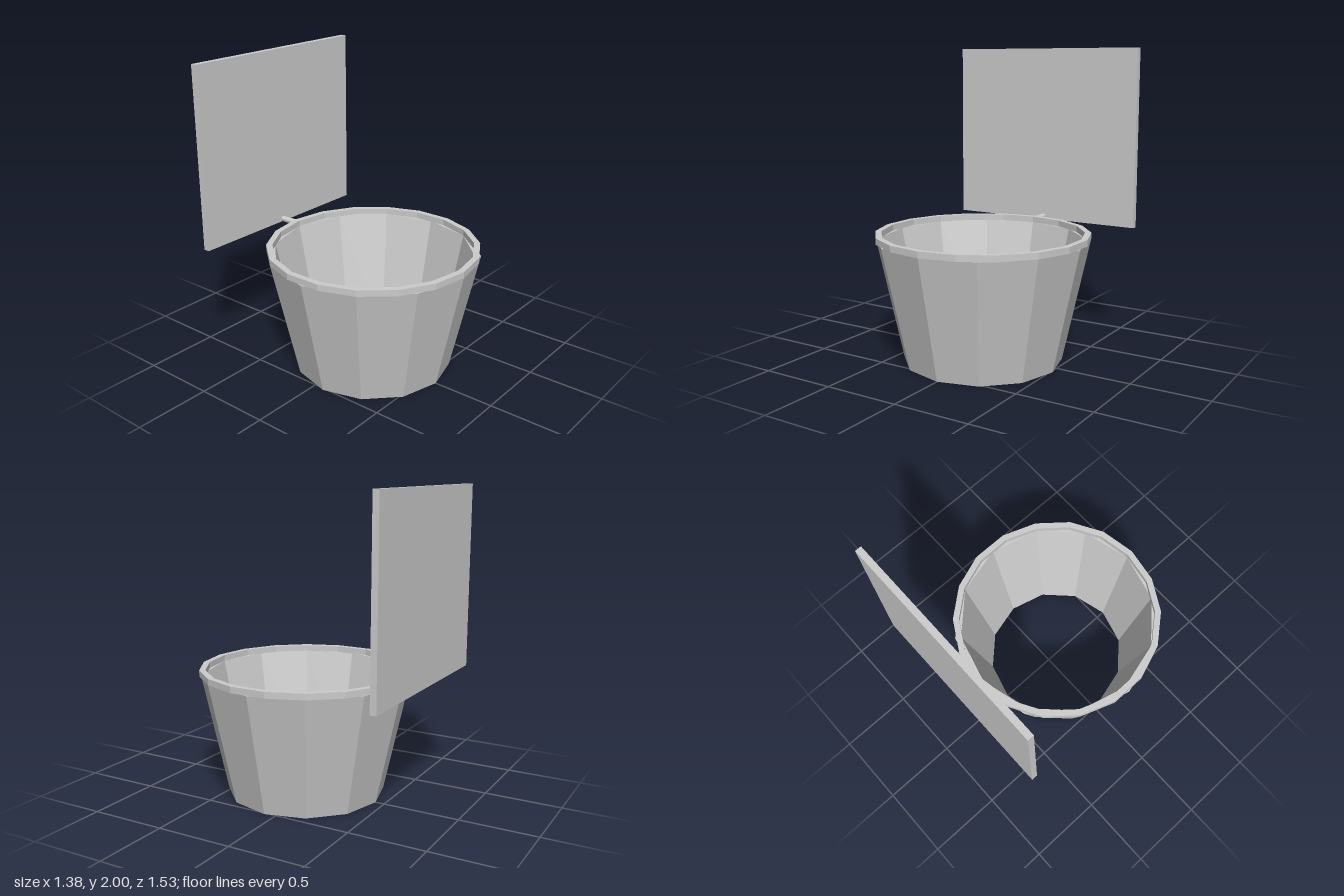
import * as THREE from 'three';

const material = new THREE.MeshStandardMaterial({ color: 0xcccccc, flatShading: true });
const HOOP_Z = 0.075;

function addPart(group, name, geometry, x, y, z) {
  const mesh = new THREE.Mesh(geometry, material);
  mesh.name = name;
  mesh.position.set(x, y, z);
  group.add(mesh);
  return mesh;
}

// Faceted hollow band: closed profile [radius, y] going up the outside and down the inside
function band(bottomOuter, bottomInner, topOuter, topInner, height, sides) {
  const profile = [
    [bottomOuter, 0], [topOuter, height], [topInner, height], [bottomInner, 0], [bottomOuter, 0],
  ].map(([r, y]) => new THREE.Vector2(r, y));
  return new THREE.LatheGeometry(profile, sides);
}

export function createModel() {
  const group = new THREE.Group();
  group.name = 'basketballHoop';

  // Backboard
  addPart(group, 'backboard', new THREE.BoxGeometry(1.38, 1.2, 0.04), 0, 1.4, -0.747);

  // Rim ring, 18 sides
  addPart(group, 'rim', band(0.69, 0.65, 0.69, 0.65, 0.04, 18), 0, 0.797, HOOP_Z);

  // Tapered net, 12 sides, open at both ends
  addPart(group, 'net', band(0.515, 0.485, 0.69, 0.65, 0.797, 12), 0, 0, HOOP_Z);

  // Rod joining the rim to the backboard
  const rod = addPart(group, 'rimBracket', new THREE.CylinderGeometry(0.02, 0.02, 0.14, 12), 0, 0.817, -0.665);
  rod.rotation.x = Math.PI / 2;

  return group;
}
